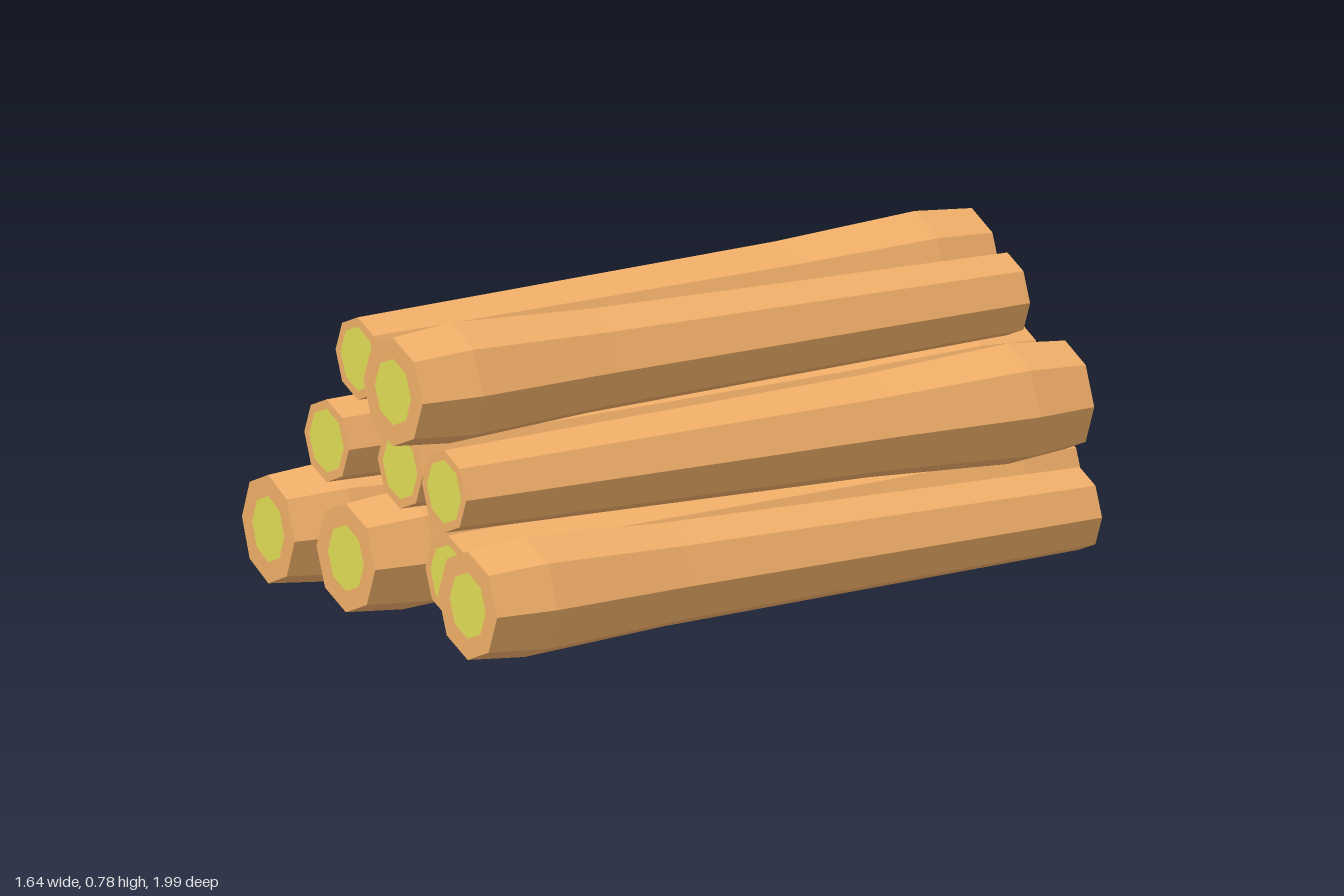
import * as THREE from 'three';

const SIDES = 8;
const wood = new THREE.MeshStandardMaterial({ color: 0xf0ae68, flatShading: true });
const core = new THREE.MeshStandardMaterial({ color: 0xe0dc55, flatShading: true });

// One log: thick butt at local z = 0, tapering to a thin tip at z = length
function makeLog(length) {
  const log = new THREE.Group();
  const profile = [
    [0.082, 0], [0.134, 0], [0.149, 0.16], [0.128, 0.55], [0.102, length], [0.079, length],
  ].map(([r, d]) => new THREE.Vector2(r, d));
  const bark = new THREE.Mesh(new THREE.LatheGeometry(profile, SIDES).rotateX(Math.PI / 2), wood);
  bark.name = 'bark';

  // Pale heartwood discs closing both cut ends
  const butt = new THREE.Mesh(new THREE.CircleGeometry(0.082, SIDES).rotateY(Math.PI), core);
  butt.name = 'buttHeartwood';
  const tip = new THREE.Mesh(new THREE.CircleGeometry(0.079, SIDES), core);
  tip.name = 'tipHeartwood';
  tip.position.z = length;
  log.add(bark, butt, tip);
  return log;
}

// Rows of the stack: each log runs from its butt [x, z] to its tip [x, z]
const ROWS = [
  { name: 'bottomLog', y: 0.15, logs: [
    [[-0.70, 0.67], [0.02, -0.90]],
    [[-0.39, 0.77], [0.225, -0.84]],
    [[0.50, -0.85], [-0.09, 0.76]],
    [[0.11, 0.945], [0.72, -0.66]],
  ] },
  { name: 'middleLog', y: 0.39, logs: [
    [[0.08, -0.95], [-0.54, 0.65]],
    [[0.365, -0.87], [-0.25, 0.74]],
    [[0.60, -0.76], [-0.03, 0.855]],
  ] },
  { name: 'topLog', y: 0.628, logs: [
    [[0.22, -0.89], [-0.40, 0.71]],
    [[-0.145, 0.905], [0.465, -0.71]],
  ] },
];

export function createModel() {
  const pile = new THREE.Group();
  pile.name = 'logPile';
  for (const { name, y, logs } of ROWS) {
    logs.forEach(([[x0, z0], [x1, z1]], i) => {
      const log = makeLog(Math.hypot(x1 - x0, z1 - z0));
      log.name = `${name}${i + 1}`;
      log.position.set(x0, y, z0);
      log.lookAt(x1, y, z1);
      pile.add(log);
    });
  }
  return pile;
}
